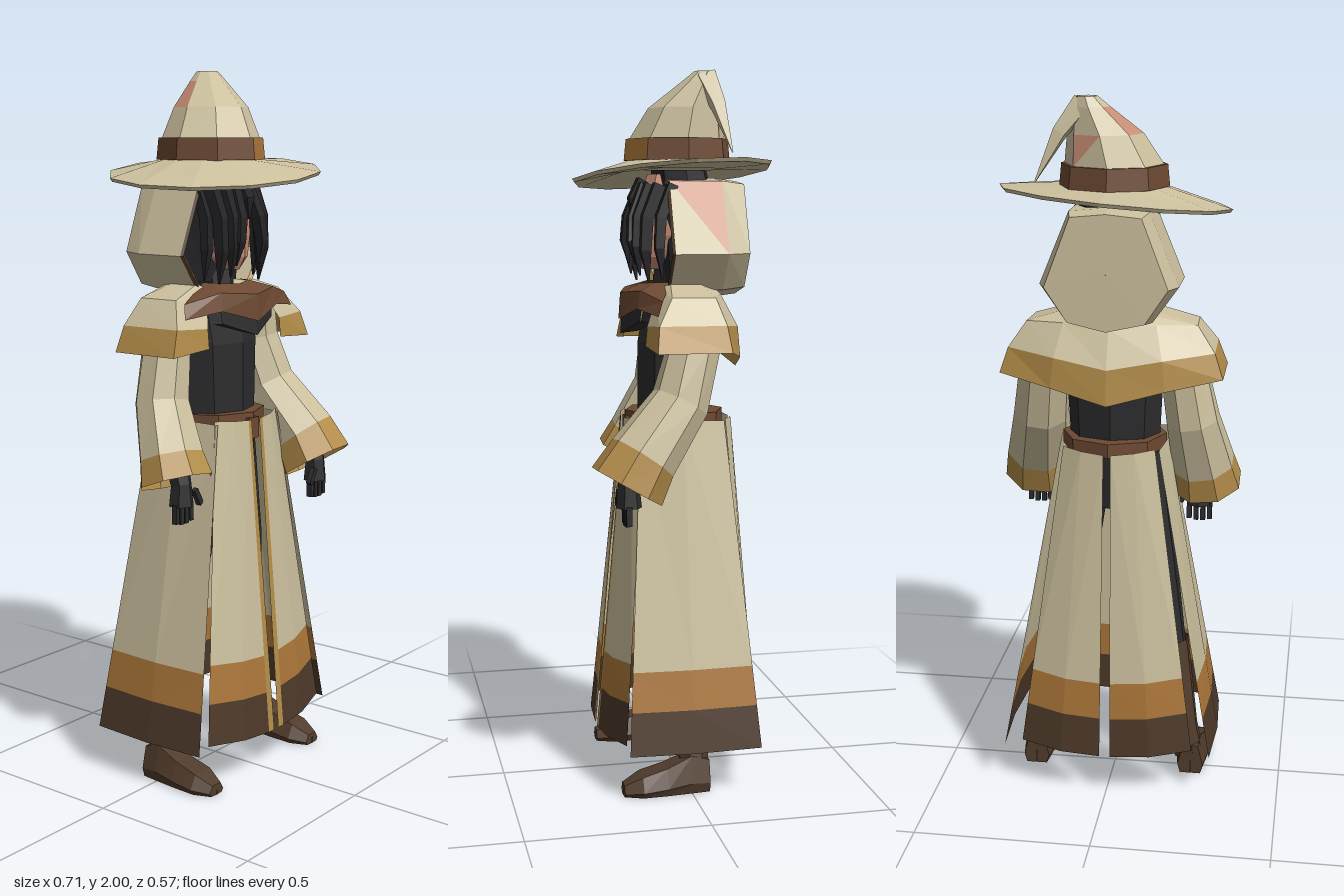
import * as THREE from 'three';

const mat = (name, color) => new THREE.MeshStandardMaterial({ name, color, flatShading: true, side: THREE.DoubleSide });
const cream = mat('cream cloth', 0xcbbf9d), gold = mat('gold trim', 0xb38d4a), orange = mat('orange hem', 0xab7639);
const umber = mat('dark brown hem', 0x4d3929), brown = mat('brown leather', 0x6d4932), boot = mat('boot leather', 0x513c2c);
const black = mat('black cloth', 0x2b2b2d), hairMat = mat('black hair', 0x242427), skin = mat('skin', 0xc98e75);
const V = (x, y, z) => new THREE.Vector3(x, y, z);

// Faceted surface through rows of points; pick(row, column, triangle) gives the material
function sheet(name, rows, pick) {
  const get = typeof pick === 'function' ? pick : () => pick;
  const buckets = new Map();
  for (let i = 0; i < rows.length - 1; i++) for (let j = 0; j < rows[i].length - 1; j++) {
    const a = rows[i][j], b = rows[i][j + 1], c = rows[i + 1][j + 1], d = rows[i + 1][j];
    [[a, d, c], [a, c, b]].forEach((tri, k) => {
      const m = get(i, j, k);
      if (!buckets.has(m)) buckets.set(m, []);
      buckets.get(m).push(...tri);
    });
  }
  const points = [], mats = [], geo = new THREE.BufferGeometry();
  for (const [m, list] of buckets) {
    geo.addGroup(points.length, list.length, mats.length);
    points.push(...list);
    mats.push(m);
  }
  geo.setFromPoints(points);
  geo.computeVertexNormals();
  const mesh = new THREE.Mesh(geo, mats);
  mesh.name = name;
  return mesh;
}

// Closed horizontal ring, first point at +z, turning towards +x
const ring = (n, cx, cy, cz, rx, rz = rx, lift = () => 0) => Array.from({ length: n + 1 }, (_, k) => {
  const a = (k % n) / n * Math.PI * 2, x = cx + rx * Math.sin(a), z = cz + rz * Math.cos(a);
  return V(x, cy + lift(x, z), z);
});

// Tube whose rings stand square to its path; stations are [x, y, z, radius]
function limb(name, stations, sides, pick) {
  const p = stations.map(s => V(s[0], s[1], s[2]));
  const rows = p.map((c, i) => {
    const d = p[Math.min(i + 1, p.length - 1)].clone().sub(p[i === p.length - 1 ? i - 1 : Math.max(i - 1, 0)]).normalize();
    const u = V(1, 0, 0).addScaledVector(d, -d.x).normalize(), v = d.clone().cross(u);
    return Array.from({ length: sides + 1 }, (_, k) => {
      const a = ((k % sides) + 0.5) / sides * Math.PI * 2, r = stations[i][3];
      return c.clone().addScaledVector(u, r * Math.cos(a)).addScaledVector(v, r * Math.sin(a));
    });
  });
  return sheet(name, rows, pick);
}

function box(name, m, w, h, d, x, y, z) {
  const b = new THREE.Mesh(new THREE.BoxGeometry(w, h, d), m);
  b.position.set(x, y, z);
  b.name = name;
  return b;
}

// Skirt panel between a top edge and a bottom edge, with two hem bands
function panel(name, s, top, bottom, trimmed) {
  const rows = [0, 0.75, 0.87, 1].map(t => top.map((p, j) => V(...p).lerp(V(...bottom[j]), t)));
  rows.forEach(r => r.forEach(p => { p.x *= s; }));
  return sheet(name, rows, (i, j) => trimmed && j === 0 ? gold : [cream, orange, umber][i]);
}

function buildHat() {
  const hat = new THREE.Group();
  hat.name = 'hat';
  const tilt = (x, z) => 0.09 * x - 0.065 * z;
  hat.add(sheet('brim', [
    ring(12, 0, 1.757, -0.015, 0.14), ring(12, 0, 1.725, 0, 0.325, 0.284, tilt),
    ring(12, 0, 1.715, 0, 0.318, 0.278, tilt), ring(12, 0, 1.735, -0.015, 0.13)], cream));
  hat.add(sheet('crown', [
    ring(8, 0, 1.755, -0.015, 0.143), ring(8, 0, 1.815, -0.015, 0.138), ring(8, 0.022, 1.9, -0.032, 0.105),
    ring(8, 0.055, 1.972, -0.068, 0.052), ring(8, 0.065, 2, -0.08, 0.03), ring(8, 0.065, 2, -0.08, 0.001)],
  (i, j, k) => (i === 2 && j === 5) || (i === 1 && j === 3 && k === 0) ? skin : cream));
  hat.add(sheet('hatBand', [
    ring(8, 0, 1.757, -0.015, 0.144), ring(8, 0, 1.757, -0.015, 0.153), ring(8, 0, 1.817, -0.015, 0.147),
    ring(8, 0, 1.817, -0.015, 0.136)], (i, j) => j === 0 ? orange : brown));
  hat.add(limb('droopingTip', [[0.075, 1.982, -0.08, 0.035], [0.135, 1.905, -0.1, 0.025], [0.2, 1.775, -0.125, 0.002]], 4, cream));
  return hat;
}

function buildHood() {
  const hood = new THREE.Group();
  hood.name = 'hood';
  const half = [[0, 1.71], [0.11, 1.7], [0.192, 1.5], [0.12, 1.4], [0, 1.375]];
  const outline = [...half, ...half.slice(1, 4).reverse().map(([x, y]) => [-x, y]), half[0]];
  const loop = (z, sx, sy = sx) => outline.map(([x, y]) => V(x * sx, 1.54 + (y - 1.54) * sy, z));
  hood.add(sheet('hoodShell', [loop(0.03, 1), loop(-0.12, 1), loop(-0.185, 0.88, 0.95), loop(-0.187, 0.001)],
    (i, j, k) => i === 0 && j === 1 && k === 0 ? skin : cream));
  hood.add(sheet('hoodRim', [loop(0.03, 1), loop(0.038, 0.97), loop(0.03, 0.91), loop(-0.1, 0.88)],
    i => [umber, gold, cream][i]));
  return hood;
}

function buildHead() {
  const head = new THREE.Group();
  head.name = 'head';
  head.add(sheet('face', [
    ring(8, 0, 1.72, 0.01, 0.06), ring(8, 0, 1.66, 0.01, 0.085), ring(8, 0, 1.55, 0.02, 0.08, 0.085),
    ring(8, 0, 1.49, 0.03, 0.06, 0.075), ring(8, 0, 1.455, 0.045, 0.025, 0.04)], skin));
  head.add(limb('neck', [[0, 1.5, 0, 0.05], [0, 1.35, 0, 0.06]], 6, black));
  head.add(sheet('backHair', [
    ring(8, 0, 1.73, -0.02, 0.09, 0.08), ring(8, 0, 1.65, -0.03, 0.11, 0.09), ring(8, 0, 1.42, -0.03, 0.1, 0.07)], hairMat));
  // Hanging strands: x at the top, x at the tip, tip height, depth, width
  const strands = [[0.03, 0.052, 1.47, 0.115, 0.021], [0.06, 0.065, 1.44, 0.105, 0.022], [0.09, 0.09, 1.42, 0.085, 0.023], [0.105, 0.112, 1.43, 0.05, 0.02]];
  for (const s of [-1, 1]) for (const [x0, x1, y, z, r] of strands)
    head.add(limb('hairStrand', [[s * x0, 1.69, z - 0.03, r], [s * (x0 + x1) / 2, 1.6, z + 0.005, r], [s * x1, (1.6 + y) / 2, z + 0.01, r * 0.9], [s * x1, y, z, 0.003]], 4, hairMat));
  head.add(limb('fringe', [[0, 1.7, 0.08, 0.03], [0, 1.65, 0.11, 0.024], [0.004, 1.595, 0.115, 0.003]], 4, hairMat));
  return head;
}

function buildArm(name, s, stations, hand) {
  const arm = new THREE.Group();
  arm.name = name;
  arm.add(limb('sleeve', stations, 8, i => i === 3 ? gold : cream));
  const [x, y, z] = hand;
  arm.add(limb('glove', [[x, y + 0.1, z - 0.02, 0.035], [x, y + 0.03, z, 0.03], [x, y - 0.03, z, 0.036]], 6, black));
  for (let f = 0; f < 4; f++)
    arm.add(box('finger', black, 0.014, 0.065 - Math.abs(f - 1.5) * 0.008, 0.016, x + (f - 1.5) * 0.02, y - 0.05, z + 0.005));
  const thumb = box('thumb', black, 0.015, 0.05, 0.016, x - s * 0.045, y - 0.01, z + 0.02);
  thumb.rotation.z = -s * 0.5;
  arm.add(thumb);
  return arm;
}

function buildLeg(s) {
  const leg = new THREE.Group();
  leg.name = s > 0 ? 'leftLeg' : 'rightLeg';
  leg.add(limb('trouser', [[s * 0.07, 1, 0, 0.075], [s * 0.12, 0.65, 0, 0.07], [s * 0.17, 0.38, -0.01, 0.05]], 6, black));
  leg.add(limb('bootShaft', [[s * 0.165, 0.42, -0.01, 0.058], [s * 0.21, 0.14, -0.015, 0.044], [s * 0.228, 0.05, -0.01, 0.045]], 8, boot));
  // Foot sections: depth, half width, height
  const rows = [[-0.052, 0.001, 0.04], [-0.052, 0.038, 0.09], [0, 0.045, 0.105], [0.07, 0.052, 0.075], [0.14, 0.055, 0.055], [0.19, 0.03, 0.03], [0.192, 0.001, 0.02]]
    .map(([z, w, h]) => [[-0.8, 0], [-1, 0.3], [-0.6, 1], [0.6, 1], [1, 0.3], [0.8, 0], [-0.8, 0]].map(([x, y]) => V(s * 0.235 + x * w, y * h, z)));
  leg.add(sheet('foot', rows, boot));
  return leg;
}

export function createModel() {
  const model = new THREE.Group();
  model.name = 'robedWizard';
  model.add(buildHat(), buildHood(), buildHead());

  // Torso and belt
  model.add(sheet('torso', [
    ring(8, 0, 1.4, -0.01, 0.07, 0.06), ring(8, 0, 1.36, -0.01, 0.15, 0.09), ring(8, 0, 1.25, -0.005, 0.14, 0.105),
    ring(8, 0, 1.05, 0, 0.13, 0.1), ring(8, 0, 0.85, 0, 0.135, 0.1), ring(8, 0, 0.85, 0, 0.001)], black));
  model.add(sheet('belt', [
    ring(8, 0, 1.015, -0.005, 0.13, 0.11), ring(8, 0, 1.015, -0.005, 0.15, 0.142),
    ring(8, 0, 1.055, -0.005, 0.15, 0.142), ring(8, 0, 1.055, -0.005, 0.13, 0.1)], brown));
  model.add(box('beltTab', brown, 0.045, 0.06, 0.02, 0, 1.01, 0.13));

  // Shoulder cape: front edge, round the shoulder, down to a point at the back
  const capeTop = [[0.13, 1.375, 0.075], [0.235, 1.385, 0.05], [0.24, 1.385, -0.07], [0.13, 1.39, -0.11], [0, 1.38, -0.13]];
  const capeMid = [[0.165, 1.305, 0.105], [0.285, 1.312, 0.095], [0.29, 1.312, -0.09], [0.15, 1.3, -0.155], [0, 1.275, -0.178]];
  const capeLow = [[0.165, 1.25, 0.11], [0.312, 1.24, 0.105], [0.314, 1.24, -0.1], [0.16, 1.215, -0.16], [0, 1.175, -0.188]];
  const neckline = [[0.09, 1.4, 0.06], [0.12, 1.42, 0.03], [0.12, 1.42, -0.05], [0.08, 1.42, -0.09], [0, 1.42, -0.1]];
  const mirrored = pts => [...pts.map(p => V(...p)), ...pts.slice(0, -1).reverse().map(([x, y, z]) => V(-x, y, z))];
  model.add(sheet('shoulderCape', [neckline, capeTop, capeMid, capeLow].map(mirrored), i => i === 2 ? gold : cream));

  // Scarf with wings over the shoulders, and the kerchief below it
  model.add(sheet('scarf', [
    [[0.08, 1.42, 0.02], [0.07, 1.42, 0.06], [0, 1.415, 0.09]],
    [[0.23, 1.375, 0.075], [0.12, 1.4, 0.115], [0, 1.39, 0.15]],
    [[0.245, 1.335, 0.09], [0.125, 1.35, 0.125], [0, 1.315, 0.155]]].map(mirrored), brown));
  model.add(sheet('kerchief', [
    [[0.12, 1.365, 0.11], [0, 1.34, 0.145]], [[0.115, 1.315, 0.115], [0, 1.275, 0.15]],
    [[0.11, 1.31, 0.08], [0, 1.28, 0.1]]].map(mirrored), black));

  // Arms, the left one reaching further forward
  model.add(buildArm('rightArm', -1, [[-0.19, 1.36, -0.01, 0.06], [-0.2, 1.24, -0.015, 0.07], [-0.225, 1.1, -0.01, 0.078],
    [-0.252, 0.955, 0.045, 0.093], [-0.26, 0.89, 0.07, 0.106]], [-0.24, 0.85, 0.07]));
  model.add(buildArm('leftArm', 1, [[0.19, 1.36, -0.01, 0.065], [0.2, 1.24, -0.015, 0.075], [0.22, 1.1, 0.025, 0.082],
    [0.248, 0.955, 0.135, 0.098], [0.252, 0.878, 0.18, 0.11]], [0.255, 0.85, 0.175]));

  // Split skirt and legs
  for (const s of [-1, 1]) {
    model.add(panel('frontSkirtPanel', s,
      [[0.018, 1.035, 0.145], [0.032, 1.037, 0.145], [0.085, 1.04, 0.135], [0.142, 1.045, 0.11]],
      [[0.01, 0.13, 0.226], [0.035, 0.13, 0.226], [0.14, 0.138, 0.22], [0.265, 0.15, 0.185]], true));
    model.add(panel('backSkirtPanel', s,
      [[0.01, 1.03, -0.168], [0.075, 1.035, -0.155], [0.13, 1.04, -0.125]],
      [[0.015, 0.13, -0.227], [0.13, 0.135, -0.222], [0.25, 0.145, -0.185]], false));
    model.add(panel('sideSkirtPanel', s,
      [[0.14, 1.035, 0.12], [0.155, 1.04, 0], [0.14, 1.035, -0.12]],
      [[0.302, 0.13, 0.182], [0.312, 0.13, 0], [0.302, 0.13, -0.192]], false));
    model.add(buildLeg(s));
  }
  return model;
}
